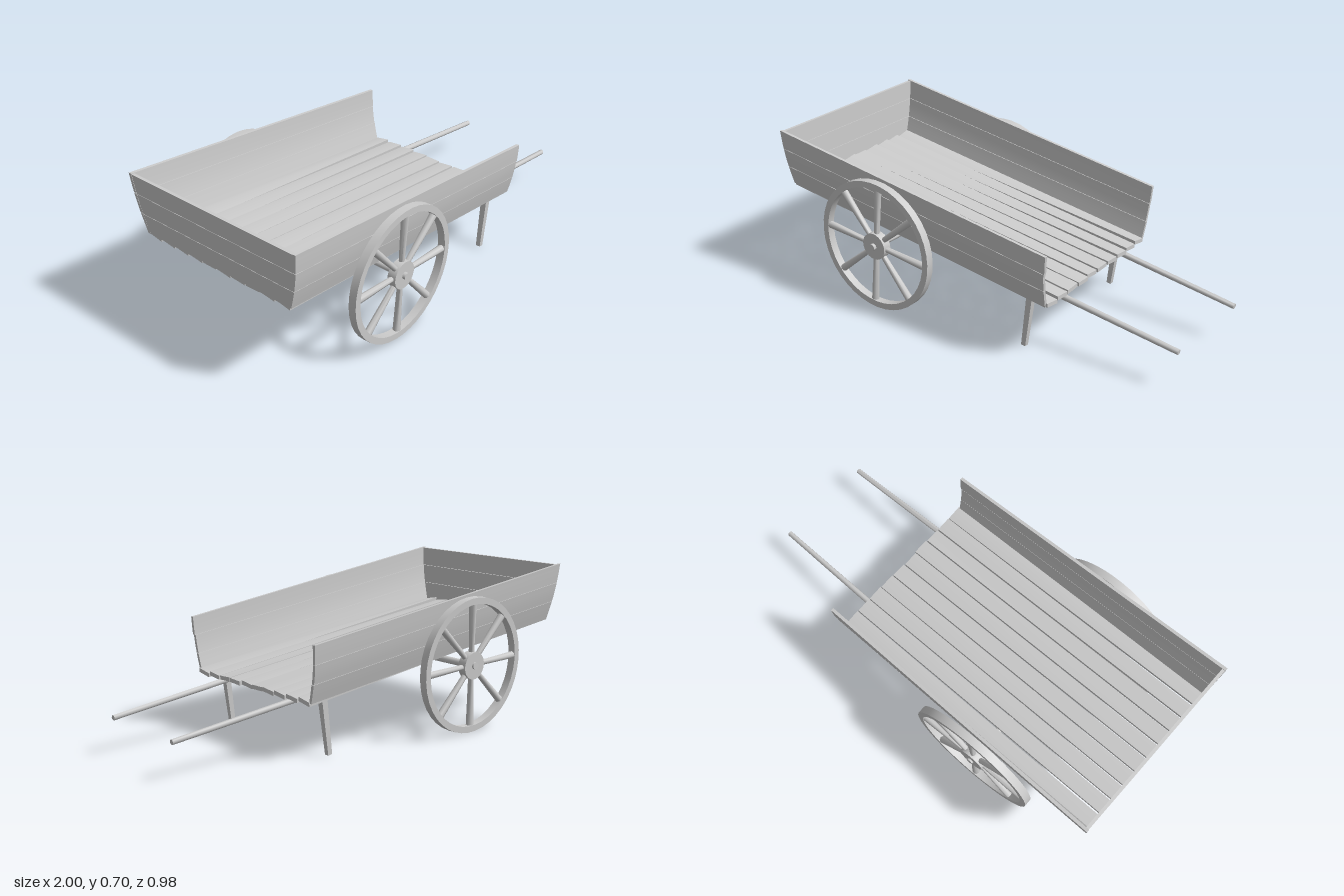
import * as THREE from 'three';
import { mergeVertices, toCreasedNormals } from 'three/addons/utils/BufferGeometryUtils.js';

const wood = new THREE.MeshStandardMaterial({ color: 0xcccccc });
const V = (x, y, z) => new THREE.Vector3(x, y, z);
const lerp = THREE.MathUtils.lerp;

// Small seeded generator for hand-cut irregularity, in -1..1
let seed = 7;
const wobble = () => {
  seed = (seed * 16807) % 2147483647;
  return (seed / 2147483647) * 2 - 1;
};

function add(parent, name, geometry) {
  const mesh = new THREE.Mesh(geometry, wood);
  mesh.name = name;
  parent.add(mesh);
  return mesh;
}

// Closed solid through four-cornered cross-sections, wound so faces point outward
function loft(sections) {
  const pos = [];
  const quad = (a, b, c, d) => [a, b, c, a, c, d].forEach((p) => pos.push(p.x, p.y, p.z));
  for (let i = 0; i + 1 < sections.length; i++) {
    const s = sections[i], t = sections[i + 1];
    for (let k = 0; k < 4; k++) quad(s[k], s[(k + 1) % 4], t[(k + 1) % 4], t[k]);
  }
  const first = sections[0], last = sections[sections.length - 1];
  quad(first[3], first[2], first[1], first[0]);
  quad(last[0], last[1], last[2], last[3]);
  let volume = 0;
  for (let i = 0; i < pos.length; i += 9) {
    const [a, b, c] = [0, 3, 6].map((o) => V(pos[i + o], pos[i + o + 1], pos[i + o + 2]));
    volume += a.dot(b.cross(c));
  }
  if (volume < 0) {
    for (let i = 0; i < pos.length; i += 9) {
      for (let k = 0; k < 3; k++) [pos[i + 3 + k], pos[i + 6 + k]] = [pos[i + 6 + k], pos[i + 3 + k]];
    }
  }
  const g = new THREE.BufferGeometry();
  g.setAttribute('position', new THREE.Float32BufferAttribute(pos, 3));
  return toCreasedNormals(mergeVertices(g), 0.5);
}

// Tapered round or square rod between two points
function rod(a, b, ra, rb, sides = 8) {
  const dir = b.clone().sub(a);
  const g = new THREE.CylinderGeometry(rb, ra, dir.length(), sides);
  if (sides === 4) g.rotateY(Math.PI / 4);
  g.applyQuaternion(new THREE.Quaternion().setFromUnitVectors(V(0, 1, 0), dir.clone().normalize()));
  const mid = a.clone().add(b).multiplyScalar(0.5);
  g.translate(mid.x, mid.y, mid.z);
  return toCreasedNormals(g, 0.9);
}

// Bed: ten sloping planks with narrow gaps
function makeFloor() {
  const floor = new THREE.Group();
  floor.name = 'floor';
  const n = 10;
  for (let i = 0; i < n; i++) {
    const gap = 0.002 + 0.002 * Math.abs(wobble());
    const roll = 0.005 * wobble();
    const end = (x, y, z0, z1, r) => {
      const a = lerp(z0, z1, i / n) + gap, b = lerp(z0, z1, (i + 1) / n) - gap;
      return [V(x, y - r, a), V(x, y + r, b), V(x, y + r - 0.018, b), V(x, y - r - 0.018, a)];
    };
    const far = end(-0.985, 0.452, -0.4, 0.383, -roll - 0.003);
    const near = end(0.45 + 0.004 * wobble(), 0.27, -0.378, 0.398, roll + 0.002);
    add(floor, 'floorPlank', loft([far, near]));
  }
  return floor;
}

// Side wall: three long boards following a gently flared, curved profile
function makeSide(name, farZ, nearZ) {
  const side = new THREE.Group();
  side.name = name;
  const sign = Math.sign(farZ[0]);
  const point = (u, t, inset) => {
    const bow = Math.sin(u * Math.PI) * 0.009;
    const z = lerp(lerp(farZ[0], farZ[1], u), lerp(nearZ[0], nearZ[1], u), t) + sign * (bow - inset);
    return V(lerp(lerp(-0.985, -0.999, u), lerp(0.45, 0.467, u), t),
      lerp(lerp(0.437, 0.709, u), lerp(0.257, 0.508, u), t), z);
  };
  for (let i = 0; i < 3; i++) {
    const trim = 0.003 * wobble();
    const sections = [];
    for (let k = 0; k <= 4; k++) {
      const u = (i + 0.01 + 0.98 * k / 4) / 3;
      const t1 = 0.997 + trim;
      sections.push([point(u, 0, 0), point(u, t1, 0), point(u, t1, 0.014), point(u, 0, 0.014)]);
    }
    add(side, 'sideBoard', loft(sections));
  }
  return side;
}

// Back wall: three boards widening towards the top
function makeBack() {
  const back = new THREE.Group();
  back.name = 'backWall';
  for (let i = 0; i < 3; i++) {
    const row = (u) => {
      const x = lerp(-0.985, -0.997, u), y = lerp(0.437, 0.705, u);
      const a = lerp(-0.4, -0.458, u), b = lerp(0.383, 0.432, u);
      return [V(x, y, a), V(x, y, b), V(x + 0.014, y, b), V(x + 0.014, y, a)];
    };
    add(back, 'backBoard', loft([row((i + 0.01) / 3), row((i + 0.99) / 3)]));
  }
  return back;
}

// Spoked wheel about the z axis
function makeWheel(name) {
  const wheel = new THREE.Group();
  wheel.name = name;
  const R = 0.305, r = 0.276, h = 0.018;
  const profile = [[r, -h], [R, -h], [R, h], [r, h], [r, -h]].map((p) => new THREE.Vector2(...p));
  const rim = new THREE.LatheGeometry(profile, 40).rotateX(Math.PI / 2);
  add(wheel, 'rim', toCreasedNormals(rim, 0.6));
  const hub = new THREE.CylinderGeometry(0.062, 0.062, 0.04, 24).rotateX(Math.PI / 2);
  add(wheel, 'hub', toCreasedNormals(hub, 0.6));
  for (let i = 0; i < 8; i++) {
    const a = THREE.MathUtils.degToRad(85 + i * 45);
    const at = (d) => V(Math.cos(a) * d, Math.sin(a) * d, 0);
    add(wheel, 'spoke', rod(at(0.05), at(0.285), 0.012, 0.017));
  }
  return wheel;
}

export function createModel() {
  const cart = new THREE.Group();
  cart.name = 'handcart';
  cart.add(makeFloor(), makeBack());
  cart.add(makeSide('leftLongSide', [0.387, 0.435], [0.4, 0.434]));
  cart.add(makeSide('rightLongSide', [-0.403, -0.464], [-0.382, -0.426]));

  // Running gear; the far wheel sits slightly crooked
  const frontWheel = makeWheel('frontWheel');
  frontWheel.position.set(-0.417, 0.31, 0.458);
  const rearWheel = makeWheel('rearWheel');
  rearWheel.position.set(-0.405, 0.31, -0.463);
  rearWheel.rotation.set(-0.028, 0.02, 0.06);
  cart.add(frontWheel, rearWheel);
  add(cart, 'axle', rod(V(-0.405, 0.31, -0.492), V(-0.417, 0.31, 0.492), 0.016, 0.016, 12));

  // Long shafts running under the bed and out to the handles
  add(cart, 'frontHandle', rod(V(-0.79, 0.393, 0.25), V(0.985, 0.168, 0.249), 0.017, 0.012));
  add(cart, 'rearHandle', rod(V(-0.79, 0.393, -0.27), V(0.998, 0.168, -0.21), 0.017, 0.012));

  // Prop legs
  for (const z of [0.352, -0.33]) {
    add(cart, 'leg', rod(V(0.309, 0.011, z), V(0.342, 0.262, z), 0.015, 0.02, 4));
  }
  return cart;
}
